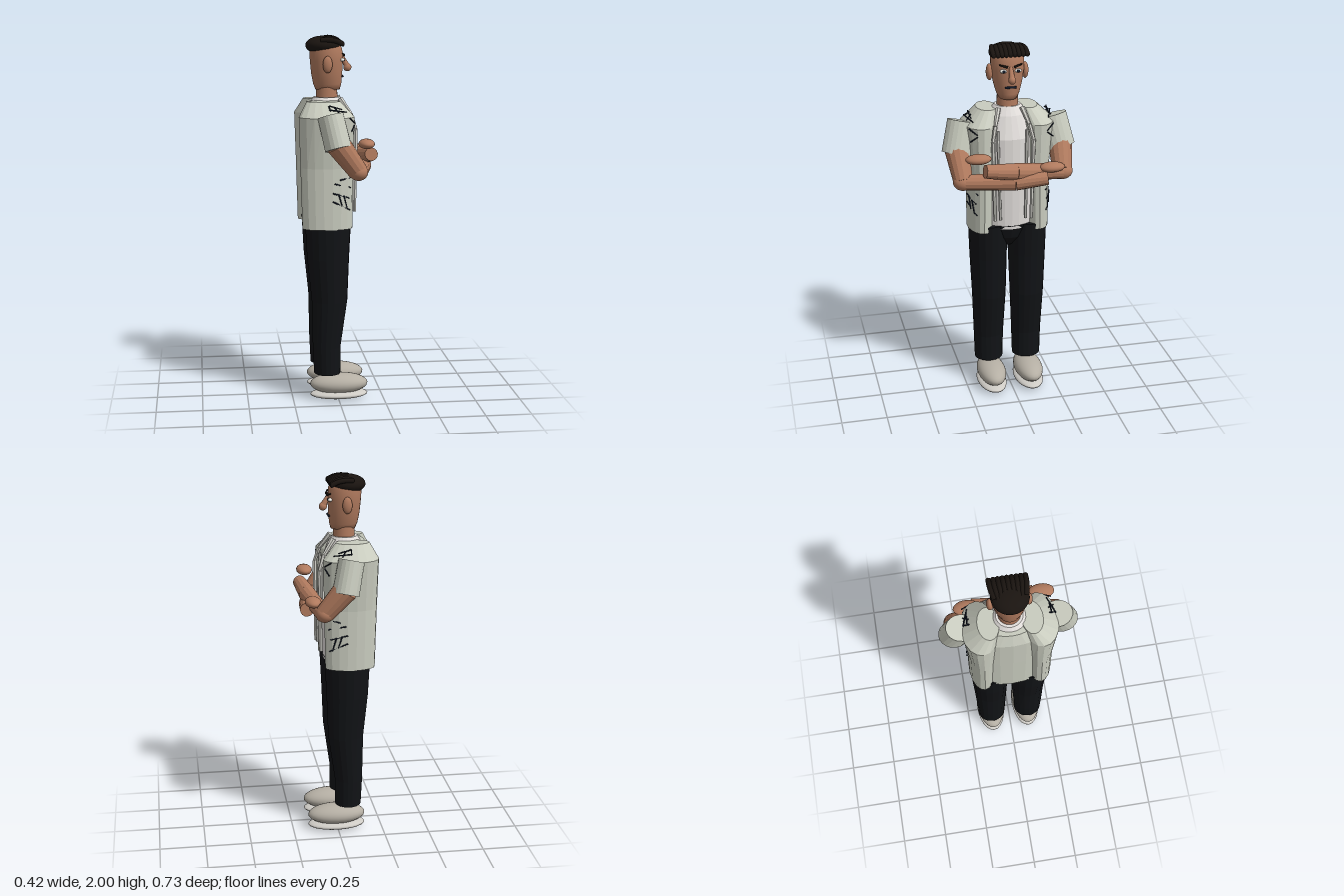
import * as THREE from 'three';

const mat = (color, flat = false) => new THREE.MeshStandardMaterial({ color, flatShading: flat, roughness: 0.9 });
const V = (p) => new THREE.Vector3(...p);

export function createModel() {
  const model = new THREE.Group();
  model.name = 'standingMan';
  const skin = mat(0xb07a5e), skinFlat = mat(0xb07a5e, true), cloth = mat(0xc9ccbf, true);
  const shirt = mat(0xe2dedb, true), trim = mat(0xd4d3cc, true), trousers = mat(0x111316, true);
  const shoe = mat(0xb5afa4), sole = mat(0xcfccc6), hair = mat(0x1a1410), ink = mat(0x141c2c), white = mat(0xf0eee6);

  const add = (name, geometry, material) => {
    const m = new THREE.Mesh(geometry, material);
    m.name = name;
    model.add(m);
    return m;
  };

  // Closed body through horizontal elliptical rings [x, y, z, rx, rz]
  const loft = (name, rings, material, n = 18) => {
    const pos = [], idx = [];
    for (const [x, y, z, rx, rz] of rings) {
      for (let j = 0; j < n; j++) {
        const t = (j / n) * Math.PI * 2;
        pos.push(x + rx * Math.cos(t), y, z + rz * Math.sin(t));
      }
    }
    const last = rings.length - 1;
    const c0 = pos.length / 3, c1 = c0 + 1;
    pos.push(...rings[0].slice(0, 3), ...rings[last].slice(0, 3));
    for (let j = 0; j < n; j++) {
      const k = (j + 1) % n;
      for (let i = 0; i < last; i++) {
        const a = i * n + j, b = i * n + k, c = a + n, d = b + n;
        idx.push(a, c, b, b, c, d);
      }
      idx.push(c0, j, k, c1, last * n + k, last * n + j);
    }
    const g = new THREE.BufferGeometry();
    g.setAttribute('position', new THREE.Float32BufferAttribute(pos, 3));
    g.setIndex(idx);
    g.computeVertexNormals();
    return add(name, g, material);
  };

  const ball = (name, p, r, material) => {
    const m = add(name, new THREE.SphereGeometry(1, 24, 16), material);
    m.position.set(...p);
    m.scale.set(...r);
    return m;
  };

  // Tapered rod from a to b
  const rod = (name, a, b, ra, rb, material, n = 14) => {
    const d = V(b).sub(V(a));
    const m = add(name, new THREE.CylinderGeometry(rb, ra, d.length(), n), material);
    m.position.copy(V(a).addScaledVector(d, 0.5));
    m.quaternion.setFromUnitVectors(new THREE.Vector3(0, 1, 0), d.normalize());
    return m;
  };

  // Hips, shirt, neck
  loft('hips', [[-0.055, 0.86, 0, 0.05, 0.03], [-0.055, 0.92, 0, 0.1, 0.1], [-0.055, 1.0, 0, 0.122, 0.19]], trousers);
  loft('tShirt', [
    [-0.055, 0.98, 0, 0.12, 0.15], [-0.05, 1.3, 0, 0.13, 0.16], [-0.05, 1.5, 0, 0.13, 0.16],
    [-0.055, 1.62, 0, 0.095, 0.11], [-0.055, 1.665, 0, 0.068, 0.07],
  ], shirt, 24);
  loft('jacketBack', [
    [-0.11, 0.97, 0, 0.075, 0.19], [-0.105, 1.3, 0, 0.082, 0.2],
    [-0.105, 1.56, 0, 0.082, 0.2], [-0.1, 1.64, 0, 0.06, 0.12],
  ], cloth);
  rod('neck', [-0.05, 1.62, 0], [-0.05, 1.73, 0], 0.06, 0.056, skin, 20);

  // Parts that repeat on both sides
  for (const s of [1, -1]) {
    const side = s > 0 ? 'right' : 'left';
    const jacketZ = (x) => 0.15 + 0.08 * Math.sqrt(Math.max(0, 1 - ((x + 0.065) / 0.142) ** 2));

    ball(side + 'Shoe', [0.005, 0.085, s * 0.108], [0.16, 0.057, 0.08], shoe);
    ball(side + 'Sole', [0.005, 0.026, s * 0.108], [0.16, 0.026, 0.082], sole);
    loft(side + 'TrouserLeg', [
      [-0.06, 0.15, s * 0.11, 0.073, 0.08], [-0.063, 0.3, s * 0.11, 0.077, 0.084],
      [-0.047, 0.56, s * 0.109, 0.098, 0.095], [-0.055, 0.8, s * 0.11, 0.115, 0.104],
      [-0.055, 1.0, s * 0.112, 0.125, 0.108],
    ], trousers);

    // Open jacket half with sloping shoulder
    loft(side + 'JacketFront', [
      [-0.063, 0.97, s * 0.155, 0.135, 0.07], [-0.065, 1.3, s * 0.152, 0.142, 0.074],
      [-0.066, 1.57, s * 0.155, 0.149, 0.098], [-0.08, 1.65, s * 0.112, 0.09, 0.056],
    ], cloth);
    const sleeve = rod(side + 'Sleeve', [-0.055, 1.585, s * 0.247], [-0.018, 1.415, s * 0.285], 0.08, 0.083, cloth, 20);
    sleeve.scale.z = 0.86;

    // Collar and hem strips beside the opening
    const strip = [[0.015, 1.66, s * 0.065], [0.07, 1.58, s * 0.092], [0.095, 1.5, s * 0.11], [0.09, 1.05, s * 0.1]];
    for (let i = 0; i < 3; i++) {
      rod(side + 'Lapel', strip[i], strip[i + 1], i ? 0.012 : 0.015, 0.01, trim, 6);
    }
    rod(side + 'Placket', [0.07, 1.55, s * 0.08], [0.085, 1.05, s * 0.07], 0.009, 0.008, trim, 6);

    // Crossed arms
    const lift = s > 0 ? 0 : 0.02;
    const elbow = [0.09, 1.29 + lift, s * 0.272];
    rod(side + 'UpperArm', [-0.02, 1.44, s * 0.285], elbow, 0.066, 0.052, skinFlat);
    ball(side + 'Elbow', elbow, [0.05, 0.046, 0.056], skin);
    const mid = [0.148, s > 0 ? 1.29 : 1.345, 0];
    const wrist = [0.172, s > 0 ? 1.305 : 1.37, s * -0.17];
    rod(side + 'ForearmUpper', [0.098, 1.29 + lift, s * 0.265], mid, 0.042, 0.047, skinFlat);
    rod(side + 'ForearmLower', mid, wrist, 0.047, 0.036, skinFlat);
    ball(side + 'Hand', [0.142, s > 0 ? 1.355 : 1.43, s * -0.2], [0.043, 0.027, 0.07], skin);

    // Embroidered twigs on the jacket
    const strokes = [
      [-0.04, 1.17, 0.05, 1.14], [-0.04, 1.125, 0.055, 1.075], [-0.01, 1.165, 0.01, 1.1],
      [0.02, 1.155, 0.04, 1.08], [-0.03, 1.22, 0.06, 1.195], [0, 1.24, 0.065, 1.25],
    ];
    for (const [x0, y0, x1, y1] of strokes) {
      rod(side + 'Embroidery', [x0, y0, s * jacketZ(x0)], [x1, y1, s * jacketZ(x1)], 0.004, 0.003, ink, 6);
    }
    const shoulder = [
      [-0.06, 1.615, 0.237, 0.035, 1.6, 0.205], [-0.06, 1.63, 0.205, -0.055, 1.61, 0.237],
      [-0.03, 1.625, 0.205, -0.01, 1.6, 0.232], [-0.06, 1.635, 0.215, 0.01, 1.615, 0.212],
      [0.05, 1.57, 0.23, 0.08, 1.54, 0.19], [0.06, 1.5, 0.225, 0.078, 1.53, 0.19],
    ];
    for (const p of shoulder) {
      rod(side + 'ShoulderEmbroidery', [p[0], p[1], s * p[2]], [p[3], p[4], s * p[5]], 0.004, 0.003, ink, 6);
    }

    // Side features of the head
    ball(side + 'Ear', [-0.055, 1.843, s * 0.097], [0.026, 0.045, 0.018], skin);
    ball(side + 'Eye', [0.03, 1.865, s * 0.04], [0.012, 0.01, 0.019], white);
    ball(side + 'Pupil', [0.04, 1.865, s * 0.039], [0.005, 0.008, 0.008], ink);
    rod(side + 'Eyebrow', [0.042, 1.888, s * 0.018], [0.03, 1.9, s * 0.062], 0.007, 0.004, hair, 8);
  }

  // Head
  loft('head', [
    [-0.045, 1.705, 0, 0.066, 0.05], [-0.047, 1.735, 0, 0.076, 0.063], [-0.05, 1.79, 0, 0.084, 0.078],
    [-0.052, 1.86, 0, 0.089, 0.089], [-0.055, 1.92, 0, 0.089, 0.09], [-0.06, 1.96, 0, 0.075, 0.078],
  ], skin, 28);
  rod('noseBridge', [0.032, 1.885, 0], [0.062, 1.825, 0], 0.009, 0.018, skin);
  ball('noseTip', [0.062, 1.823, 0], [0.022, 0.022, 0.02], skin);
  rod('mouth', [0.034, 1.776, -0.03], [0.034, 1.776, 0.03], 0.006, 0.006, ink, 8);

  // Hair cap with rows of forward strands
  ball('hairCap', [-0.07, 1.942, 0], [0.095, 0.05, 0.096], hair);
  for (let i = 0; i < 9; i++) {
    const z = (i - 4) * 0.0225, drop = 2.2 * z * z;
    const path = [[-0.09, 1.97, z * 0.85], [-0.045, 1.983 - drop * 0.6, z * 0.95], [-0.005, 1.975 - drop * 0.5, z], [0.028, 1.95, z]];
    add('hairStrand', new THREE.TubeGeometry(new THREE.CatmullRomCurve3(path.map(V)), 8, 0.0135, 8), hair);
    ball('strandTip', path[3], [0.008, 0.0135, 0.0135], hair);
  }
  return model;
}
